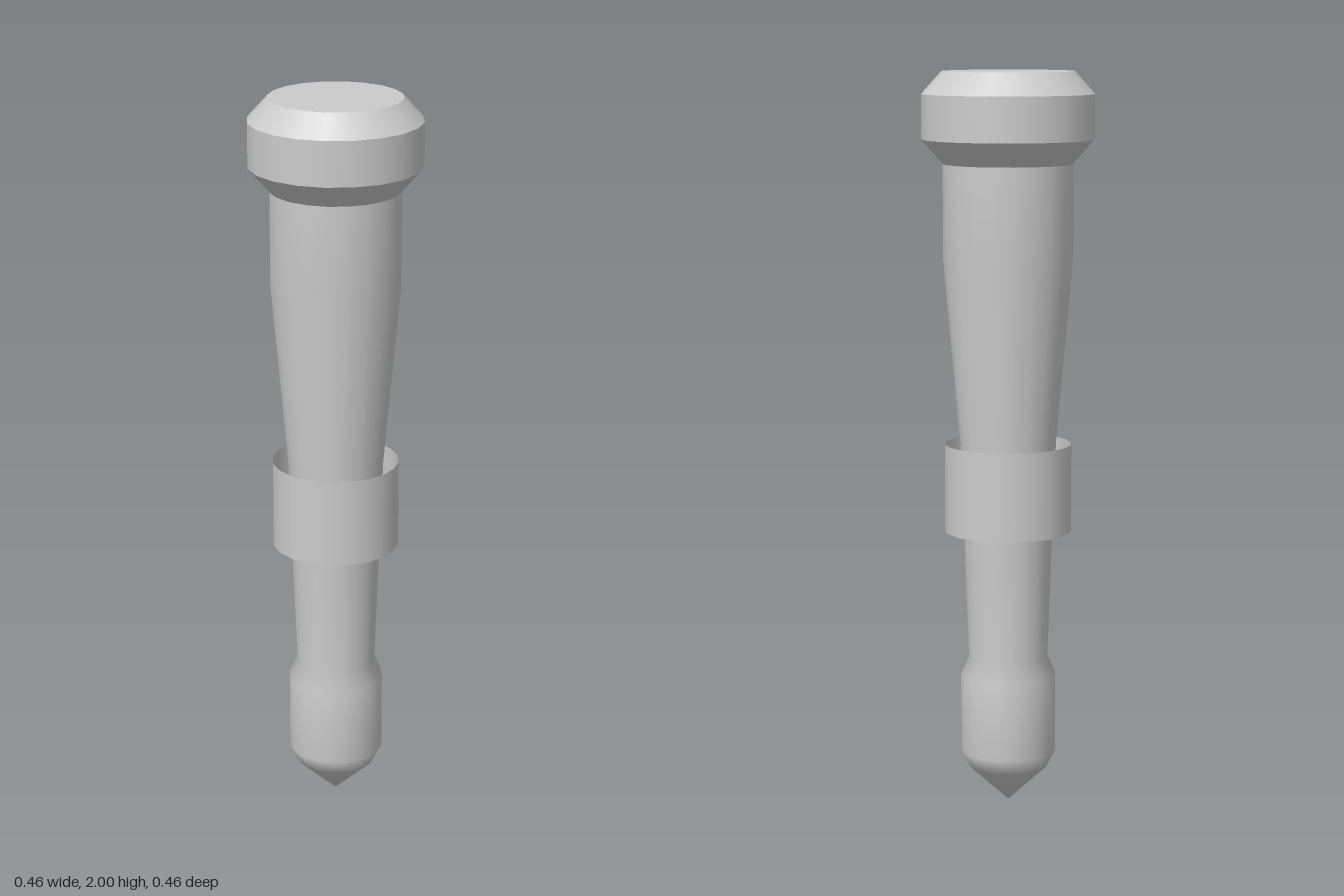
import * as THREE from 'three';

const SIDES = 20;

export function createModel() {
  const group = new THREE.Group();
  const material = new THREE.MeshStandardMaterial({ color: 0xcccccc });
  const openMaterial = new THREE.MeshStandardMaterial({ color: 0xcccccc, side: THREE.DoubleSide });

  // Turned part: profile of [radius, height] points, listed from bottom to top
  const turn = (name, profile, mat = material) => {
    const points = profile.map(([r, y]) => new THREE.Vector2(r, y));
    const mesh = new THREE.Mesh(new THREE.LatheGeometry(points, SIDES), mat);
    mesh.name = name;
    return mesh;
  };

  // Pin body: pointed tip, bulb, narrow neck and flaring handle, smooth along its length
  group.add(turn('shaft', [
    [0, 0], [0.108, 0.1], [0.13, 0.145], [0.13, 0.36], [0.108, 0.41],
    [0.13, 1.0], [0.175, 1.5], [0.175, 1.755],
  ]));

  // Loose open sleeve around the middle
  group.add(turn('collar', [[0.172, 0.76], [0.172, 1.0]], openMaterial));

  // Bevelled head; each band is turned separately to keep the rims sharp
  const head = new THREE.Group();
  head.name = 'head';
  const rings = [[0.175, 1.755], [0.232, 1.82], [0.232, 1.94], [0.178, 2], [0, 2]];
  const bands = ['lowerBevel', 'rim', 'upperBevel', 'topCap'];
  bands.forEach((name, i) => head.add(turn(name, [rings[i], rings[i + 1]])));
  group.add(head);

  return group;
}
